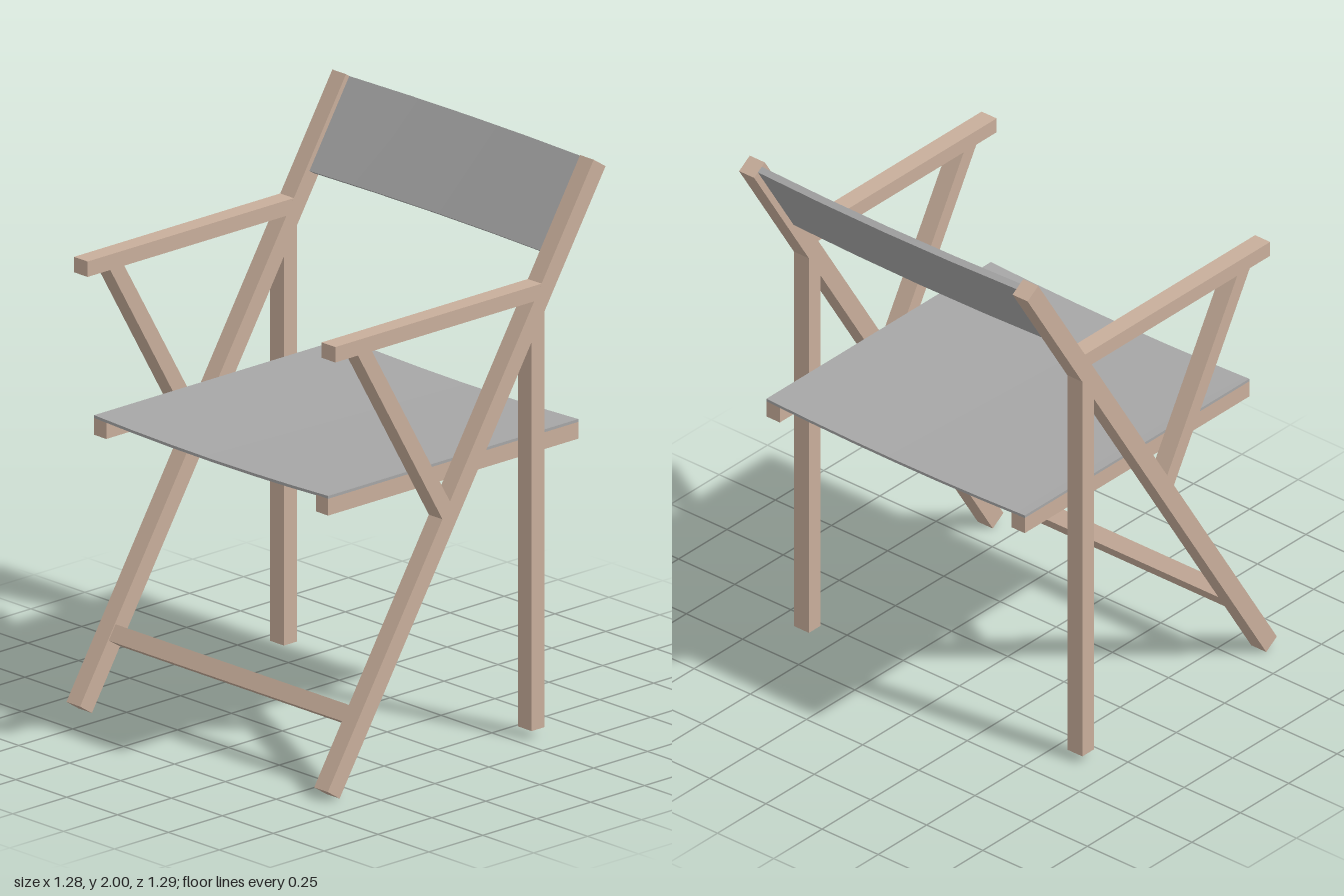
import * as THREE from 'three';

export function createModel() {
  const chair = new THREE.Group();
  chair.name = 'foldingChair';
  const wood = new THREE.MeshStandardMaterial({ name: 'pale wood', color: 0xc8ae9b });
  const cloth = new THREE.MeshStandardMaterial({ name: 'grey canvas', color: 0xa6a6a6 });

  const add = (name, geometry, material) => {
    const mesh = new THREE.Mesh(geometry, material);
    mesh.name = name;
    chair.add(mesh);
  };

  // Flat side profile given as [z, y] corners, extruded across x on both sides
  const inner = 0.575, outer = 0.642;
  const sidePair = (name, corners, x0 = inner, x1 = outer) => {
    const shape = new THREE.Shape(corners.map(([z, y]) => new THREE.Vector2(-z, y)));
    for (const [side, start] of [['left', x0], ['right', -x1]]) {
      const g = new THREE.ExtrudeGeometry(shape, { depth: x1 - x0, bevelEnabled: false });
      g.rotateY(Math.PI / 2).translate(start, 0, 0);
      add(side + name, g, wood);
    }
  };

  // Side frames: long sloping leg, back post, armrest and its brace
  sidePair('SlopingLeg', [[0.59, 0], [0.645, 0.036], [-0.588, 2], [-0.643, 1.964]]);
  sidePair('BackPost', [[-0.3, 0.03], [-0.3, 1.43], [-0.36, 1.526], [-0.36, 0.03]]);
  sidePair('Armrest', [[0.61, 1.56], [0.61, 1.615], [-0.346, 1.615], [-0.312, 1.56]]);
  sidePair('ArmBrace', [[0.505, 1.56], [0.44, 1.56], [0.078, 0.938], [0.113, 0.883]]);

  // Seat rails, just inside the frames
  sidePair('SeatRail', [[0.58, 0.99], [0.58, 1.05], [-0.58, 1.05], [-0.58, 0.99]], 0.515, 0.575);

  // Front stretcher, tilted with the sloping legs
  const lean = -Math.atan(1.233 / 1.964);
  const stretcher = new THREE.BoxGeometry(2 * inner, 0.06, 0.057);
  stretcher.rotateX(lean).translate(0, 0.25, 0.472);
  add('stretcher', stretcher, wood);

  // Canvas panels hang in a shallow curve between the two sides
  const hang = (geometry, axis, depth) => {
    const p = geometry.attributes.position;
    for (let i = 0; i < p.count; i++) {
      const drop = depth * (1 - (p.getX(i) / inner) ** 2);
      p.setComponent(i, axis, p.getComponent(i, axis) - drop);
    }
    geometry.computeVertexNormals();
    return geometry;
  };

  const seat = new THREE.BoxGeometry(2 * inner, 0.01, 1.16, 6, 1, 1).translate(0, 1.055, 0);
  add('seatCanvas', hang(seat, 1, 0.012), cloth);

  const back = new THREE.BoxGeometry(2 * inner, 0.348, 0.024, 4, 1, 1);
  back.rotateX(lean).translate(0, 1.836, -0.521);
  add('backCanvas', hang(back, 2, 0.014), cloth);

  return chair;
}
